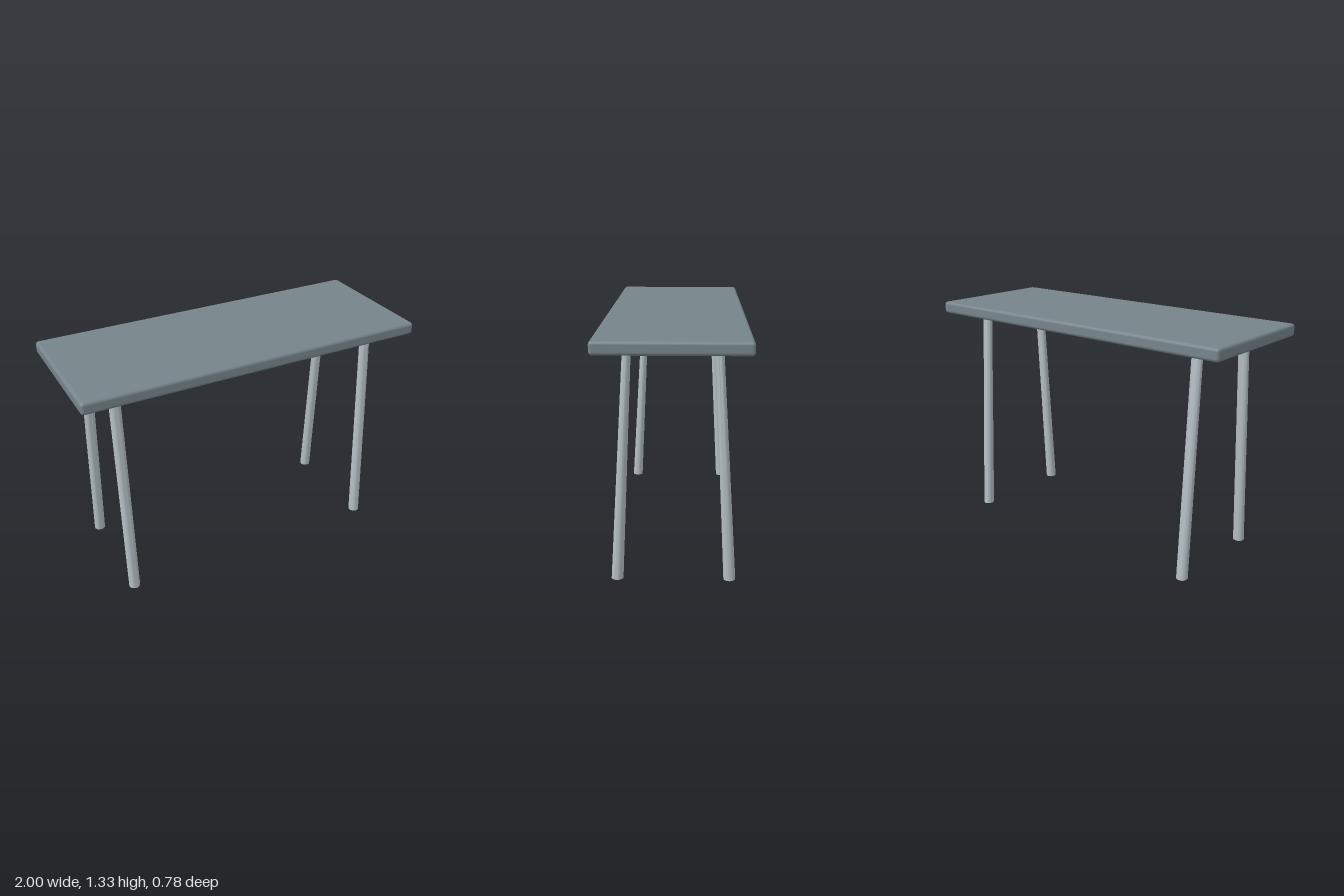
import * as THREE from 'three';
import { RoundedBoxGeometry } from 'three/addons/geometries/RoundedBoxGeometry.js';
import { toCreasedNormals } from 'three/addons/utils/BufferGeometryUtils.js';

const SIDES = 24;
const TUBE_RADIUS = 0.032;

// One bent tube: foot, mitred corner, crossbar, mitred corner, foot.
// Each ring has a centre (y, z) and a half-axis (dy, dz) pointing to the outside of the bend.
function legFrameGeometry() {
  const rings = [
    { y: 0, z: 0.3, dy: 0, dz: 0.032 },
    { y: 1.241, z: 0.23, dy: 0.021, dz: 0.021 },
    { y: 1.241, z: -0.23, dy: 0.021, dz: -0.021 },
    { y: 0, z: -0.3, dy: 0, dz: -0.032 },
  ];
  const positions = [];
  const index = [];
  rings.forEach((ring, r) => {
    for (let i = 0; i < SIDES; i++) {
      const a = (i / SIDES) * Math.PI * 2;
      const s = Math.sin(a);
      positions.push(Math.cos(a) * TUBE_RADIUS, ring.y + ring.dy * s, ring.z + ring.dz * s);
      if (r === rings.length - 1) continue;
      const j = (i + 1) % SIDES;
      const p = r * SIDES + i, q = r * SIDES + j;
      index.push(p, q, p + SIDES, q, q + SIDES, p + SIDES);
    }
  });
  const geometry = new THREE.BufferGeometry();
  geometry.setAttribute('position', new THREE.Float32BufferAttribute(positions, 3));
  geometry.setIndex(index);
  return toCreasedNormals(geometry, 0.7);
}

export function createModel() {
  const model = new THREE.Group();
  model.name = 'table';
  const topMaterial = new THREE.MeshStandardMaterial({ color: 0x76848b });
  const legMaterial = new THREE.MeshStandardMaterial({ color: 0xb4bec5, side: THREE.DoubleSide });

  function addSlab(name, width, height, depth, radius, y) {
    const slab = new THREE.Mesh(new RoundedBoxGeometry(width, height, depth, 4, radius), topMaterial);
    slab.name = name;
    slab.position.y = y;
    model.add(slab);
  }

  // Top and the thin support panel between the leg frames
  addSlab('tabletop', 2, 0.07, 0.78, 0.018, 1.295);
  addSlab('supportPanel', 1.56, 0.044, 0.46, 0.015, 1.242);

  // Splayed leg frames at both ends
  const frameGeometry = legFrameGeometry();
  for (const side of [1, -1]) {
    const frame = new THREE.Mesh(frameGeometry, legMaterial);
    frame.name = side > 0 ? 'leftLegFrame' : 'rightLegFrame';
    frame.position.x = side * 0.78;
    model.add(frame);
  }
  return model;
}
